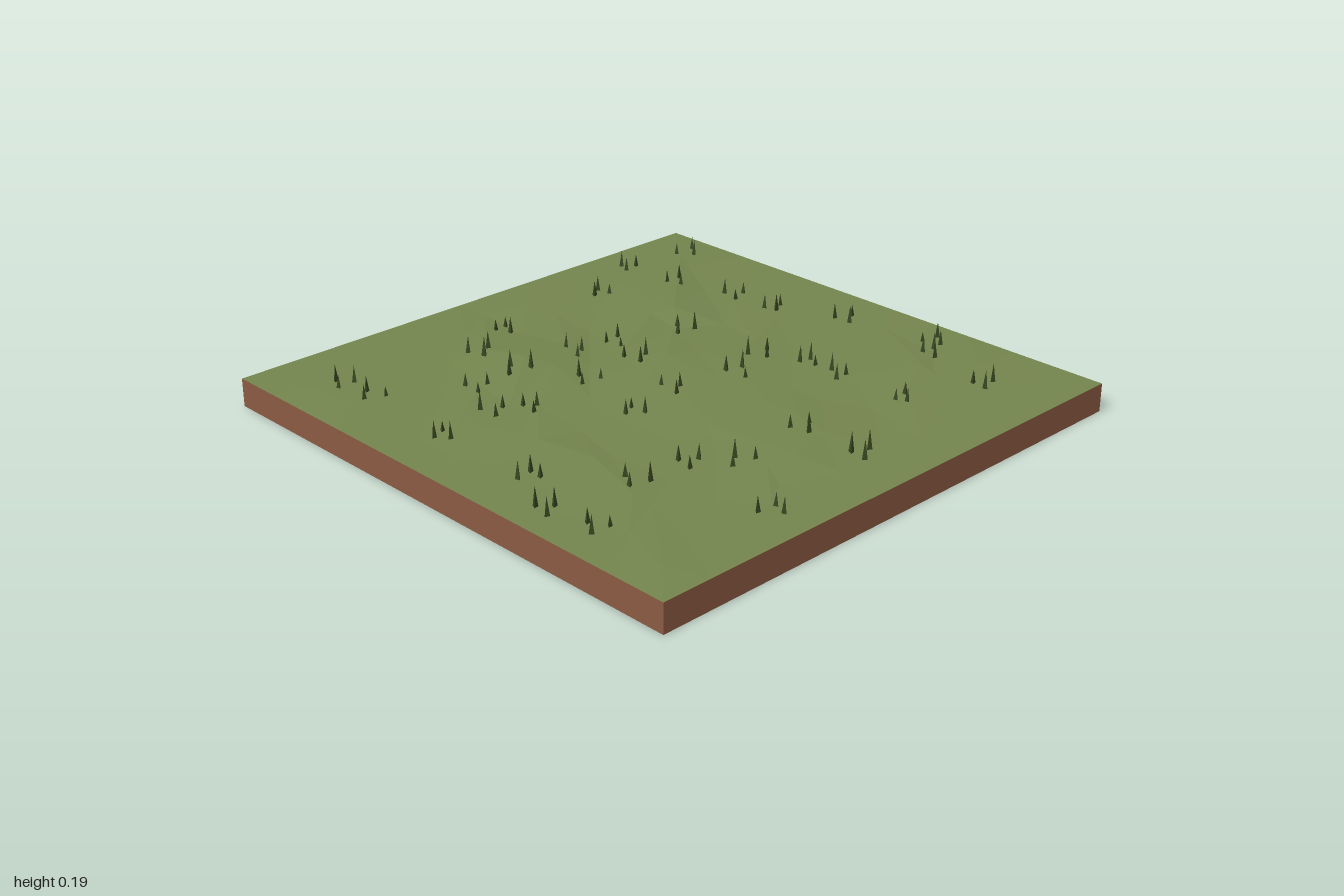
import * as THREE from 'three';
import { mergeGeometries } from 'three/addons/utils/BufferGeometryUtils.js';

const TOP = 0.1;

// Small seeded generator
function makeRandom(seed) {
  return () => {
    seed = (seed * 16807) % 2147483647;
    return seed / 2147483647;
  };
}

// Low mounds: x, z, height, spread
const mounds = [
  [-0.28, -0.46, 0.034, 0.2], [0.1, 0.0, 0.022, 0.24], [-0.05, 0.6, 0.019, 0.25],
  [0.45, -0.42, 0.022, 0.18], [0.7, -0.62, 0.016, 0.16], [-0.6, 0.35, 0.012, 0.22],
  [-0.55, -0.12, 0.012, 0.2], [0.55, 0.45, 0.015, 0.22],
];

// Ground height, fading to the flat rim
function groundHeight(x, z) {
  const rim = Math.min(1, (1 - Math.max(Math.abs(x), Math.abs(z))) / 0.3);
  let h = 0.002;
  for (const [mx, mz, top, r] of mounds) {
    h = Math.max(h, top * Math.exp(-((x - mx) ** 2 + (z - mz) ** 2) / (r * r)));
  }
  return TOP + h * Math.max(0, rim);
}

// Tuft centres: x, z
const tufts = [
  [-0.79, -0.73], [-0.78, -0.59], [-0.12, -0.71], [0.36, -0.74], [0.61, -0.85],
  [0.88, -0.81], [-0.31, -0.59], [0.61, -0.61], [-0.5, -0.39], [-0.33, -0.38],
  [-0.08, -0.38], [0.08, -0.35], [0.69, -0.38], [0.33, -0.28], [-0.8, -0.19],
  [-0.58, -0.21], [-0.48, -0.15], [-0.2, -0.18], [0.04, -0.2], [0.7, -0.2],
  [-0.25, 0.09], [-0.06, 0.07], [0.2, 0.12], [0.37, 0.06], [0.81, 0.06],
  [-0.78, 0.2], [0.43, 0.22], [0.42, 0.36], [-0.88, 0.4], [-0.59, 0.45],
  [-0.38, 0.47], [-0.86, 0.57], [-0.27, 0.58], [0.02, 0.57], [0.44, 0.62],
  [0.8, 0.45], [0.88, 0.38], [0.72, 0.74], [0.04, 0.79], [-0.42, 0.85],
];

export function createModel() {
  const group = new THREE.Group();
  const material = (name, color) => {
    const m = new THREE.MeshStandardMaterial({ color });
    m.name = name;
    m.flatShading = true;
    return m;
  };
  const soil = material('soil brown', 0x8b5a42);
  const grass = material('grass green', 0x74854e);
  const blade = material('dark grass', 0x34451f);
  const add = (name, geometry, mat) => {
    const mesh = new THREE.Mesh(geometry, mat);
    mesh.name = name;
    group.add(mesh);
    return mesh;
  };

  // Soil slab, with a green upper face
  add('soilSlab', new THREE.BoxGeometry(2, TOP, 2), [soil, soil, grass, soil, soil, soil])
    .position.y = TOP / 2;

  // Faceted ground: an uneven grid lifted over the mounds
  const random = makeRandom(4711);
  const cells = 11;
  const ground = new THREE.PlaneGeometry(2, 2, cells, cells).rotateX(-Math.PI / 2);
  const p = ground.attributes.position;
  for (let i = 0; i < p.count; i++) {
    let x = p.getX(i), z = p.getZ(i);
    const dx = (random() - 0.5) * 0.13, dz = (random() - 0.5) * 0.13;
    const bump = (random() - 0.5) * 0.01;
    if (Math.max(Math.abs(x), Math.abs(z)) > 0.99) {
      p.setXYZ(i, x, TOP, z);
      continue;
    }
    x += dx;
    z += dz;
    p.setXYZ(i, x, Math.max(TOP + 0.001, groundHeight(x, z) + bump), z);
  }
  const facets = ground.toNonIndexed();
  facets.computeVertexNormals();
  add('grassGround', facets, grass);

  // Tufts of three pointed blades
  const blades = [];
  for (const [cx, cz] of tufts) {
    const turn = random() * Math.PI * 2;
    for (let k = 0; k < 3; k++) {
      const angle = turn + (k * Math.PI * 2) / 3 + (random() - 0.5) * 0.8;
      const reach = 0.025 + random() * 0.025;
      const x = cx + Math.cos(angle) * reach, z = cz + Math.sin(angle) * reach;
      const height = 0.035 + random() * 0.035;
      const cone = new THREE.ConeGeometry(0.011, height + 0.008, 3);
      cone.rotateY(random() * Math.PI * 2);
      cone.translate(x, groundHeight(x, z) + height / 2 - 0.004, z);
      blades.push(cone);
    }
  }
  add('grassTufts', mergeGeometries(blades), blade);

  return group;
}
